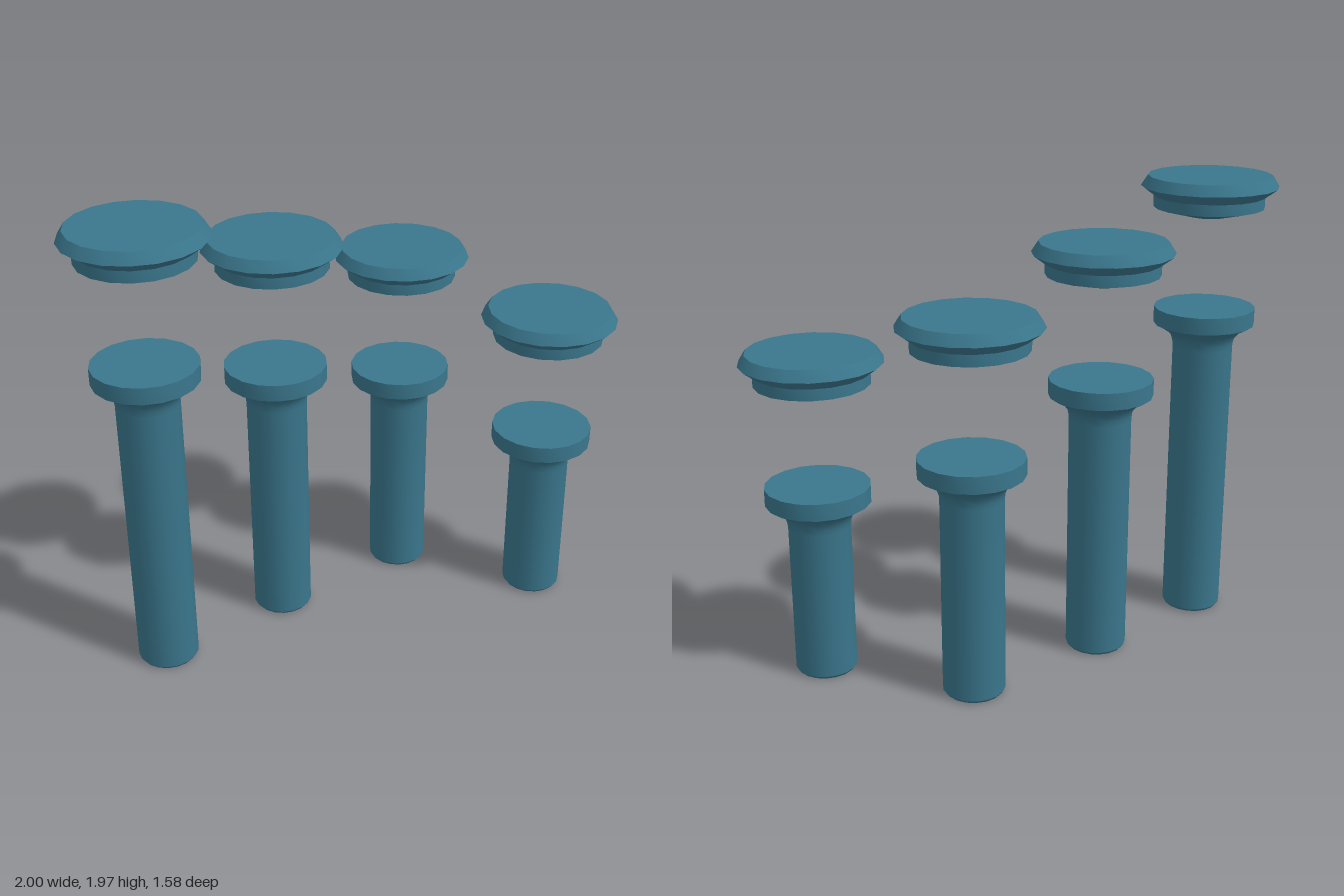
import * as THREE from 'three';
import { toCreasedNormals } from 'three/addons/utils/BufferGeometryUtils.js';

const SIDES = 18;

// Turned solid from [radius, height] pairs, listed bottom to top
function turned(profile) {
  const points = profile.map(([r, y]) => new THREE.Vector2(r, y));
  return toCreasedNormals(new THREE.LatheGeometry(points, SIDES), 0.5);
}

// Round column with a chamfered foot, a flared neck and a flat capital
function columnGeometry(top) {
  return turned([
    [0, 0], [0.12, 0], [0.129, 0.012],
    [0.129, top - 0.175], [0.132, top - 0.15], [0.14, top - 0.127],
    [0.156, top - 0.107], [0.182, top - 0.089], [0.216, top - 0.071],
    [0.216, top], [0, top],
  ]);
}

// Stepped disc with a sharp rim and a shallow conical underside
function discGeometry() {
  return turned([
    [0, 0], [0.085, 0], [0.233, 0.038], [0.233, 0.085],
    [0.288, 0.126], [0.26, 0.17], [0, 0.17],
  ]);
}

export function createModel() {
  const model = new THREE.Group();
  model.name = 'steppedColumns';
  const teal = new THREE.MeshStandardMaterial({ color: 0x3a768c });
  teal.name = 'teal';

  const disc = discGeometry();
  const positions = [[-0.716, 0.5], [-0.356, 0.002], [0.058, -0.5], [0.715, -0.458]];

  positions.forEach(([x, z], i) => {
    const top = 1.408 - i * 0.1945;
    const unit = new THREE.Group();
    unit.name = `columnUnit${i + 1}`;
    unit.position.set(x, 0, z);

    const column = new THREE.Mesh(columnGeometry(top), teal);
    column.name = 'column';

    // Each disc floats above its column
    const cap = new THREE.Mesh(disc, teal);
    cap.name = 'floatingDisc';
    cap.position.y = top + 0.394;

    unit.add(column, cap);
    model.add(unit);
  });
  return model;
}
